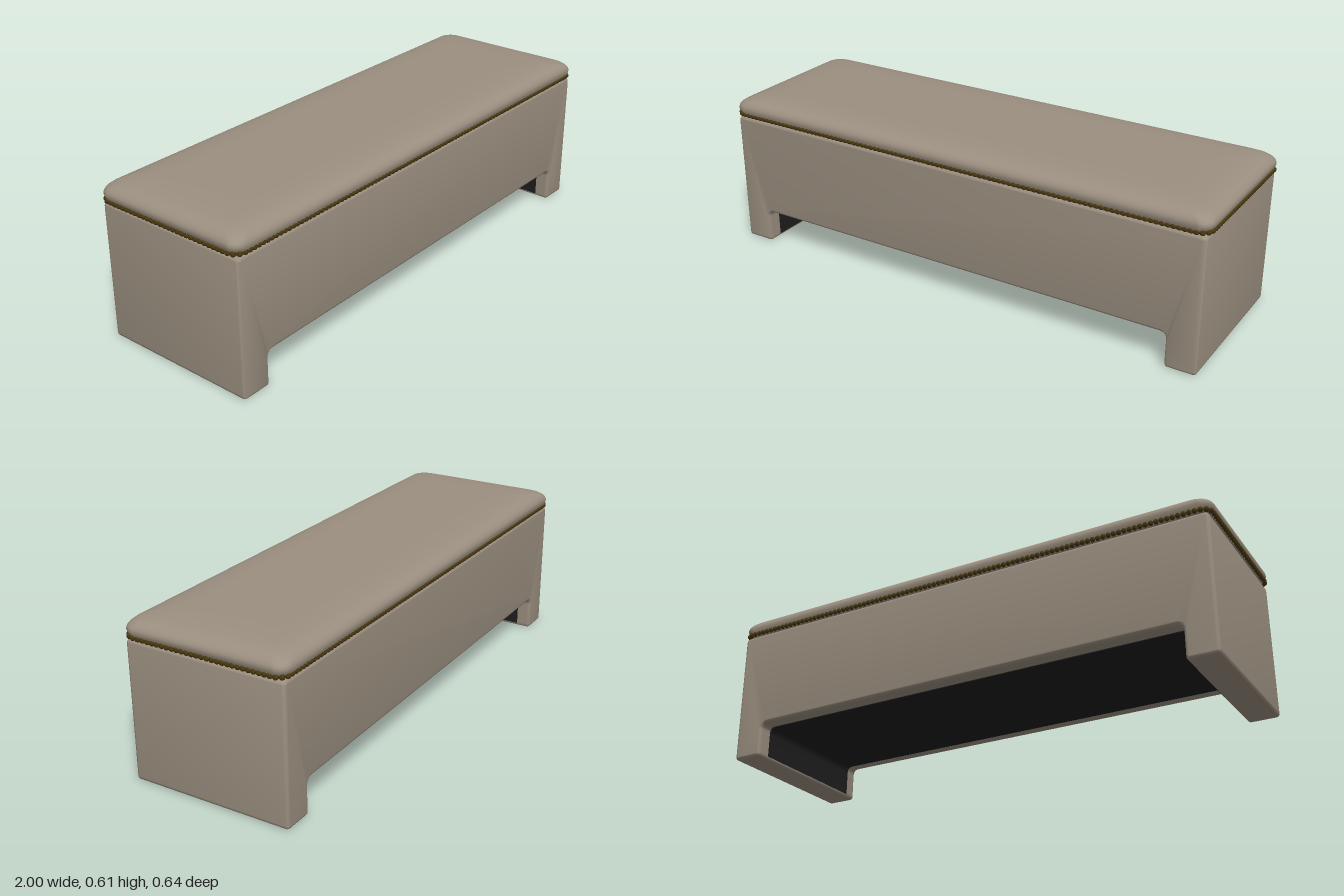
import * as THREE from 'three';
import { mergeGeometries, toCreasedNormals } from 'three/addons/utils/BufferGeometryUtils.js';

const fabric = new THREE.MeshStandardMaterial({ color: 0x9b8f80 });
fabric.name = 'taupe fabric';
const lining = new THREE.MeshStandardMaterial({ color: 0x1e1e1e });
lining.name = 'black lining';
const brass = new THREE.MeshStandardMaterial({ color: 0x48370f });
brass.name = 'aged brass';

function addMesh(parent, name, geometry, material) {
  const mesh = new THREE.Mesh(geometry, material);
  mesh.name = name;
  parent.add(mesh);
  return mesh;
}

// Closed shape from corners [x, y, radius]
function roundedPolygon(corners) {
  const shape = new THREE.Shape();
  const n = corners.length;
  corners.forEach(([x, y, r], i) => {
    const here = new THREE.Vector2(x, y);
    const toward = (c) => new THREE.Vector2(c[0], c[1]).sub(here).setLength(r).add(here);
    const a = toward(corners[(i + n - 1) % n]);
    const b = toward(corners[(i + 1) % n]);
    if (i === 0) shape.moveTo(a.x, a.y);
    else shape.lineTo(a.x, a.y);
    if (r > 0) shape.quadraticCurveTo(x, y, b.x, b.y);
  });
  shape.closePath();
  return shape;
}

// Rounded rectangle in the xz plane, as [x, z] points
function roundedRect(hx, hz, r, steps = 8) {
  const points = [];
  for (let q = 0; q < 4; q++) {
    const sx = q === 0 || q === 3 ? 1 : -1;
    const sz = q < 2 ? 1 : -1;
    for (let i = 0; i <= steps; i++) {
      const a = (q + i / steps) * Math.PI / 2;
      points.push([sx * (hx - r) + r * Math.cos(a), sz * (hz - r) + r * Math.sin(a)]);
    }
  }
  return points;
}

// Upholstered box with a leg at each end
function bodyGeometry() {
  const bevel = 0.012;
  const shape = roundedPolygon([
    [-0.985, 0, 0.014], [-0.868, 0, 0.014], [-0.868, 0.132, 0.025],
    [0.868, 0.132, 0.025], [0.868, 0, 0.014], [0.985, 0, 0.014],
    [0.985, 0.522, 0.02], [-0.985, 0.522, 0.02],
  ]);
  const geometry = new THREE.ExtrudeGeometry(shape, {
    depth: 0.62 - 2 * bevel, bevelEnabled: true, bevelThickness: bevel,
    bevelSize: bevel, bevelOffset: -bevel, bevelSegments: 4, curveSegments: 6,
  });
  geometry.translate(0, 0, -0.31 + bevel);
  return toCreasedNormals(geometry, 0.6);
}

// Thin cloth covering the underside and the inner faces of the legs
function liningGeometry() {
  const shape = roundedPolygon([
    [-0.87, 0.012, 0], [-0.865, 0.012, 0], [-0.865, 0.129, 0.024],
    [0.865, 0.129, 0.024], [0.865, 0.012, 0], [0.87, 0.012, 0],
    [0.87, 0.134, 0.024], [-0.87, 0.134, 0.024],
  ]);
  const geometry = new THREE.ExtrudeGeometry(shape, {
    depth: 0.51, bevelEnabled: false, curveSegments: 6,
  });
  geometry.translate(0, 0, -0.255);
  return toCreasedNormals(geometry, 0.6);
}

// Softly crowned cushion, lofted through rounded rectangles [inset, height]
function cushionGeometry() {
  const levels = [
    [0.034, 0.515], [0.018, 0.517], [0.011, 0.524], [0.007, 0.534], [0.002, 0.546],
    [0, 0.558], [0.002, 0.568], [0.008, 0.578], [0.018, 0.587], [0.032, 0.594],
    [0.055, 0.599], [0.085, 0.6025], [0.13, 0.605], [0.2, 0.605],
  ];
  const positions = [];
  const index = [];
  let n = 0;
  levels.forEach(([d, y]) => {
    const loop = roundedRect(0.996 - d * 1.25, 0.317 - d, 0.045 + d * 0.3);
    n = loop.length;
    loop.forEach(([x, z]) => positions.push(x, y, z));
  });
  const last = (levels.length - 1) * n;
  const bottom = positions.length / 3;
  positions.push(0, levels[0][1], 0, 0, 0.605, 0);
  for (let j = 0; j < n; j++) {
    const k = (j + 1) % n;
    for (let i = 0; i < last; i += n) {
      index.push(i + j, i + n + j, i + k, i + k, i + n + j, i + n + k);
    }
    index.push(bottom, j, k, bottom + 1, last + k, last + j);
  }
  const geometry = new THREE.BufferGeometry();
  geometry.setAttribute('position', new THREE.Float32BufferAttribute(positions, 3));
  geometry.setIndex(index);
  geometry.computeVertexNormals();
  return geometry;
}

// Row of round nail heads around the cushion
function nailGeometry() {
  const path = new THREE.CurvePath();
  const loop = roundedRect(0.988, 0.308, 0.035).map(([x, z]) => new THREE.Vector3(x, 0.534, z));
  loop.forEach((p, i) => path.add(new THREE.LineCurve3(p, loop[(i + 1) % loop.length])));
  const count = Math.round(path.getLength() / 0.0198);
  const head = new THREE.SphereGeometry(0.0102, 12, 8);
  const heads = [];
  for (let i = 0; i < count; i++) {
    const p = path.getPointAt(i / count);
    heads.push(head.clone().translate(p.x, p.y, p.z));
  }
  return mergeGeometries(heads);
}

export function createModel() {
  const bench = new THREE.Group();
  bench.name = 'bench';
  addMesh(bench, 'body', bodyGeometry(), fabric);
  addMesh(bench, 'undersideLining', liningGeometry(), lining);
  addMesh(bench, 'cushion', cushionGeometry(), fabric);
  addMesh(bench, 'nailHeadTrim', nailGeometry(), brass);
  return bench;
}
